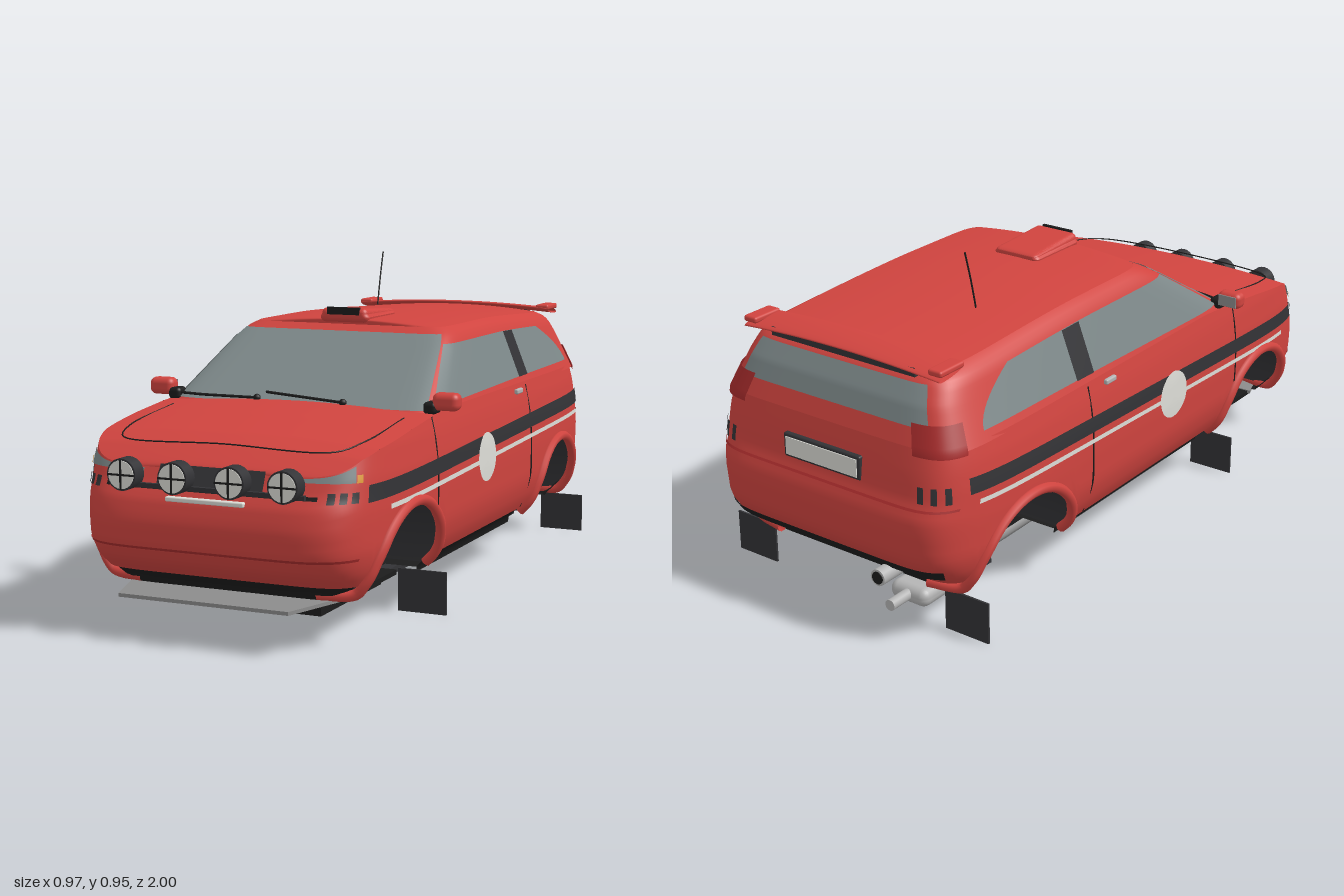
import * as THREE from 'three';
import { mergeVertices } from 'three/addons/utils/BufferGeometryUtils.js';
import { RoundedBoxGeometry } from 'three/addons/geometries/RoundedBoxGeometry.js';

const mat = (color) => new THREE.MeshStandardMaterial({ color, side: THREE.DoubleSide });
const RED = mat(0xd0443f), DARK = mat(0x333336), BLACK = mat(0x1c1c1c), GLASS = mat(0x7c8788);
const WHITE = mat(0xdcdcd6), GREY = mat(0x8c8c8c), LIGHT = mat(0xb4b4b4), TAIL = mat(0xa82c2c), AMBER = mat(0xe09a30);
const V = (x, y, z) => new THREE.Vector3(x, y, z);
const lerp = THREE.MathUtils.lerp;

// Piecewise interpolation in a table of [key, value]
function look(t, x) {
  if (x <= t[0][0]) return t[0][1];
  for (let i = 1; i < t.length; i++) if (x <= t[i][0])
    return lerp(t[i - 1][1], t[i][1], (x - t[i - 1][0]) / (t[i][0] - t[i - 1][0]));
  return t[t.length - 1][1];
}

// Smooth sheet from a function of two parameters in 0..1
function sheet(nu, nv, f) {
  const pos = [], idx = [];
  for (let i = 0; i <= nu; i++) for (let j = 0; j <= nv; j++) pos.push(...f(i / nu, j / nv).toArray());
  for (let i = 0; i < nu; i++) for (let j = 0; j < nv; j++) {
    const a = i * (nv + 1) + j, b = a + nv + 1;
    idx.push(a, b, a + 1, b, b + 1, a + 1);
  }
  let g = new THREE.BufferGeometry();
  g.setAttribute('position', new THREE.Float32BufferAttribute(pos, 3));
  g.setIndex(idx);
  g = mergeVertices(g, 1e-5);
  g.computeVertexNormals();
  return g;
}

// Outline parameter s in 0..1: front centre, left side, rear centre, right side
function square(s) {
  s = (s + 1) % 1;
  if (s > 0.5) { const [p, q] = square(1 - s); return [-p, q]; }
  if (s < 0.1) return [s / 0.1, 1];
  if (s < 0.4) return [1, 1 - (s - 0.1) / 0.15];
  return [(0.5 - s) / 0.1, -1];
}
function rounded(s, nf, nb) {
  const [p, q] = square(s), n = q > 0 ? nf : nb;
  const k = (Math.abs(p) ** n + Math.abs(q) ** n) ** (-1 / n);
  return [p * k, q * k];
}
function sideParam(zn, nf, nb) {
  const n = zn > 0 ? nf : nb, q = zn / (1 - Math.abs(zn) ** n) ** (1 / n);
  return 0.1 + 0.15 * (1 - q);
}

// Lower body surface
const WIDTH = [[.12, .36], [.165, .405], [.2, .425], [.26, .44], [.36, .443], [.45, .44], [.52, .43], [.57, .418]];
const FRONT = [[.12, .86], [.165, .90], [.2, .95], [.25, .98], [.32, .985], [.38, .97], [.405, .95], [.46, .925], [.57, .87]];
const REAR = [[.12, .86], [.165, .90], [.2, .95], [.25, .985], [.35, .995], [.4, .99], [.42, .975], [.5, .965], [.57, .95]];
const SHOULDER = [[.3, .57], [.45, .56], [.6, .545], [.8, .52], [.88, .5], [.93, .475], [.97, .455]];
function body(s, y, off = 0) {
  const [a, b] = rounded(s, 7, 9);
  const end = look(b > 0 ? FRONT : REAR, y) - 0.97 + off;
  return V((look(WIDTH, y) + off) * a, y, b * 0.97 + Math.sign(b) * end * Math.abs(b) ** 8);
}
const bodyS = (z) => sideParam(z / 0.97, 7, 9);
const flankX = (z, y) => body(bodyS(z), y).x;
const planZ = (s) => rounded(s, 7, 9)[1] * 0.97;
const WHEELS = [0.61, -0.63], ARCH_Y = 0.14, ARCH_R = 0.215;
function sill(z) {
  let y = 0.165;
  for (const c of WHEELS) if (Math.abs(z - c) < ARCH_R) y = Math.max(y, ARCH_Y + Math.sqrt(ARCH_R ** 2 - (z - c) ** 2));
  return y;
}

// Cabin surface, v from belt to roof edge
const CAB_W = [[0, .418], [.8, .352], [.93, .335], [1, .31]];
const CAB_F = [[0, .45], [.9, .14], [1, .10]];
const CAB_B = [[0, -.95], [.6, -.91], [.9, -.875], [1, -.84]];
function cabin(s, v, off = 0) {
  const [a, b] = rounded(s, 14, 10), f = look(CAB_F, v) + off, r = look(CAB_B, v) - off;
  const z = (f + r) / 2 + b * (f - r) / 2;
  const drop = 0.025 * v * THREE.MathUtils.smoothstep(-z, 0.2, 0.95);
  return V((look(CAB_W, v) + off) * a, 0.56 + 0.21 * v - drop + (v > 0.98 ? off : 0), z);
}
function cabinS(z, v) {
  const f = look(CAB_F, v), r = look(CAB_B, v);
  return sideParam((z - (f + r) / 2) / ((f - r) / 2), 14, 10);
}

export function createModel() {
  const car = new THREE.Group();
  car.name = 'rallyCar';
  const add = (name, geo, m, x = 0, y = 0, z = 0) => {
    const o = new THREE.Mesh(geo, m);
    o.name = name; o.position.set(x, y, z); car.add(o);
    return o;
  };
  const box = (name, m, w, h, d, x, y, z) => add(name, new THREE.BoxGeometry(w, h, d), m, x, y, z);
  const soft = (name, m, w, h, d, x, y, z, r) => add(name, new RoundedBoxGeometry(w, h, d, 3, r), m, x, y, z);
  const tube = (name, pts, r, m, n = 32) => add(name, new THREE.TubeGeometry(new THREE.CatmullRomCurve3(pts), n, r, 8), m);
  const rod = (name, m, r, len, x, y, z) => add(name, new THREE.CylinderGeometry(r, r, len, 24).rotateX(Math.PI / 2), m, x, y, z);
  const patch = (name, m, s0, s1, y0, y1, off) => add(name, sheet(30, 4, (a, t) => body(lerp(s0, s1, a), lerp(y0, y1, t), off)), m);
  // Sheet joining the left and right edges, arched by crown
  const across = (name, m, edge, s0, s1, crown) => add(name, sheet(70, 16, (a, t) => {
    const p = edge(lerp(s0, s1, a)), u = 2 * t - 1;
    return V(p.x * u, p.y + crown * p.x * (1 - u * u), p.z);
  }), m);

  // Body shell, bonnet, cabin and roof
  add('bodyShell', sheet(400, 16, (s, t) => body(s, lerp(sill(planZ(s)), look(SHOULDER, planZ(s)), t))), RED);
  across('bonnet', RED, (s) => body(s, look(SHOULDER, planZ(s))), 0, bodyS(0.28), 0.04);
  add('cabinShell', sheet(240, 16, (s, t) => cabin(s, t)), RED);
  across('roof', RED, (s) => cabin(s, 1), 0, 0.5, 0.06);

  // Windows
  add('windscreen', sheet(40, 12, (a, t) => cabin(lerp(-0.097, 0.097, a), lerp(0.05, 0.92, t), 0.004)), GLASS);
  add('rearWindow', sheet(30, 12, (a, t) => cabin(lerp(0.416, 0.584, a), lerp(0.32, 0.86, t), 0.004)), GLASS);
  for (const side of [1, -1]) {
    const flip = (s) => side > 0 ? s : 1 - s;
    const window = (name, m, zf, zr, off) => add(name, sheet(30, 10, (a, t) => {
      const z = lerp(zf(0.04 + 0.76 * t), zr(0.04 + 0.76 * t), a);
      const v = lerp(0.08 - 0.09 * (z - 0.4) * 0.8, 0.8, t);
      return cabin(flip(cabinS(z, v)), v, off);
    }), m);
    window('sideWindow', GLASS, (v) => 0.39 - 0.3 * v, (v) => -0.79 + 0.26 * v * v, 0.004);
    window('doorPillar', DARK, () => -0.30, () => -0.38, 0.007);

    // Stripes, end slashes and the round door panel
    const stripe = (name, m, z0, z1, y0, h) => add(name, sheet(80, 3, (a, t) => {
      const z = lerp(z0, z1, a);
      return body(flip(bodyS(z)), y0 - 0.03 * z + h * t, 0.004);
    }), m);
    stripe('darkStripe', DARK, 0.86, -0.87, 0.417, 0.045);
    stripe('paleStripe', WHITE, 0.76, -0.84, 0.384, 0.013);
    for (const s of [0.076, 0.084, 0.092]) patch('frontSlash', DARK, flip(s), flip(s + 0.005), 0.395, 0.422, 0.005);
    for (const s of [0.405, 0.414, 0.423]) patch('rearSlash', DARK, flip(s), flip(s + 0.004), 0.43, 0.475, 0.005);
    add('doorRoundel', sheet(40, 3, (a, t) => body(flip(bodyS(0.075 + 0.072 * t * Math.cos(a * 2 * Math.PI))),
      0.395 + 0.072 * t * Math.sin(a * 2 * Math.PI), 0.007)), WHITE);

    // Door seams and handle
    for (const [z, y0] of [[0.45, 0.3], [-0.34, 0.17]])
      tube('doorSeam', [0, .25, .5, .75, 1].map((t) => body(flip(bodyS(z)), lerp(y0, 0.56, t))), 0.0025, BLACK);
    soft('doorHandle', LIGHT, 0.014, 0.016, 0.05, side * 0.432, 0.55, -0.245, 0.005);

    // Wheel wells, arch flares and mud flaps
    for (const c of WHEELS) {
      const arc = (a, r) => { const t = a * Math.PI; return [c + r * Math.cos(t), ARCH_Y + r * Math.sin(t)]; };
      add('wheelWell', sheet(32, 4, (a, t) => {
        const [z, y] = arc(a, ARCH_R);
        return V(side * lerp(0.2, flankX(z, y), t), y, z);
      }), DARK);
      add('wellInnerWall', new THREE.CircleGeometry(ARCH_R, 32, 0, Math.PI).rotateY(Math.PI / 2), DARK, side * 0.205, ARCH_Y, c);
      const pts = [];
      for (let i = 0; i <= 24; i++) {
        const [z, y] = arc(i / 24, 0.217);
        pts.push(V(side * (flankX(z, y) + 0.002), y, z));
      }
      const lead = c > 0 ? pts[0] : pts[24], tip = V(lead.x - side * 0.1, 0.135, lead.z + Math.sign(c) * 0.02);
      c > 0 ? pts.unshift(tip) : pts.push(tip);
      tube('archFlare', pts, 0.015, RED, 72);
      rod('axleStub', DARK, 0.03, 0.1, side * 0.24, 0.12, c);
    }
    for (const z of [0.42, -0.848]) box('mudFlap', DARK, 0.145, 0.122, 0.006, side * 0.384, 0.061, z);

    // Sill, mirror, head lamp, indicator and tail lamp
    patch('sill', BLACK, flip(bodyS(0.38)), flip(bodyS(-0.4)), 0.105, 0.175, -0.012);
    soft('mirror', RED, 0.078, 0.05, 0.05, side * 0.447, 0.597, 0.40, 0.018);
    box('mirrorGlass', GREY, 0.06, 0.034, 0.004, side * 0.447, 0.597, 0.374);
    soft('mirrorFoot', BLACK, 0.04, 0.035, 0.05, side * 0.402, 0.578, 0.40, 0.012);
    add('headLamp', sheet(20, 6, (a, t) => {
      const s = lerp(0.045, 0.094, a);
      return body(flip(s), lerp(0.445, look(SHOULDER, planZ(s)) - 0.002, t), 0.005);
    }), GLASS);
    patch('indicator', AMBER, flip(0.0945), flip(0.099), 0.445, 0.465, 0.006);
    add('tailLamp', sheet(20, 6, (a, t) => cabin(flip(lerp(0.385, 0.43, a)), lerp(-0.05, 0.38, t), 0.005)), TAIL);
    soft('spoilerEnd', RED, 0.045, 0.018, 0.1, side * 0.322, 0.763, -0.84, 0.007);
  }

  // Nose: grille, bumper lines, plate strip and four driving lamps
  patch('grille', DARK, -0.035, 0.035, 0.412, 0.465, 0.004);
  patch('grilleSlot', BLACK, -0.07, 0.07, 0.402, 0.412, 0.005);
  patch('bumperCrease', TAIL, -0.1, 0.1, 0.243, 0.25, 0.002);
  soft('frontPlate', WHITE, 0.23, 0.013, 0.02, 0, 0.382, 0.968, 0.004);
  box('lampBar', DARK, 0.56, 0.012, 0.012, 0, 0.41, 0.955);
  for (const x of [-0.235, -0.083, 0.083, 0.235]) {
    rod('lampHousing', DARK, 0.043, 0.045, x, 0.44, 0.972);
    rod('lampLens', WHITE, 0.038, 0.006, x, 0.44, 0.994);
    box('lampCrossbar', BLACK, 0.08, 0.005, 0.004, x, 0.44, 0.998);
    box('lampUpright', BLACK, 0.005, 0.08, 0.004, x, 0.44, 0.998);
  }
  // Bonnet seam
  const seam = [[-.36, .5], [-.355, .75], [-.31, .85], [0, .868], [.31, .85], [.355, .75], [.36, .5]];
  tube('bonnetSeam', seam.map(([x, z]) => {
    const s = bodyS(z), y = look(SHOULDER, z), w = body(s, y).x;
    return V(x, y + 0.04 * w * (1 - (x / w) ** 2), z);
  }), 0.002, BLACK, 60);

  // Wipers
  for (const [s0, s1] of [[-0.094, -0.03], [-0.026, 0.034]]) {
    const pts = [0, .33, .67, 1].map((t) => cabin(lerp(s0, s1, t), s0 < -0.05 ? 0.1 : lerp(0.17, 0.1, t), 0.012));
    tube('wiper', pts, 0.004, BLACK);
    add('wiperPivot', new THREE.SphereGeometry(0.011, 12, 8), BLACK, pts[3].x, pts[3].y, pts[3].z);
  }

  // Roof scoop, aerial and rear wing
  const scoop = new RoundedBoxGeometry(0.16, 0.045, 0.22, 4, 0.018), sp = scoop.attributes.position;
  for (let i = 0; i < sp.count; i++) if (sp.getY(i) > 0) {
    sp.setY(i, sp.getY(i) * lerp(0.35, 1, (sp.getZ(i) + 0.11) / 0.22));
    sp.setX(i, sp.getX(i) * 0.93);
  }
  scoop.computeVertexNormals();
  add('roofScoop', scoop, RED, 0, 0.796, 0);
  box('scoopMouth', BLACK, 0.105, 0.022, 0.01, 0, 0.809, 0.107);
  tube('aerial', [V(-0.148, 0.78, -0.49), V(-0.148, 0.865, -0.51), V(-0.148, 0.952, -0.535)], 0.0025, BLACK, 4);
  add('rearWing', sheet(30, 20, (a, t) => {
    const x = lerp(-0.34, 0.34, a), th = t * 2 * Math.PI;
    return V(x, 0.765 - 0.12 * x * x + 0.008 * Math.sin(th) + 0.008 * Math.cos(th), -0.84 + 0.052 * Math.cos(th));
  }), RED);
  box('wingMount', DARK, 0.5, 0.025, 0.03, 0, 0.745, -0.865);

  // Tail: plate, bumper slot
  soft('rearPlateFrame', DARK, 0.27, 0.07, 0.02, 0, 0.475, -0.966, 0.006);
  box('rearPlate', WHITE, 0.25, 0.052, 0.008, 0, 0.475, -0.975);
  patch('rearBumperSlot', BLACK, 0.41, 0.59, 0.2, 0.23, 0.004);
  patch('rearBumperSeam', TAIL, 0.4, 0.6, 0.408, 0.414, 0.004);

  // Underside
  patch('frontValance', BLACK, -0.112, 0.112, 0.118, 0.172, -0.012);
  patch('rearValance', BLACK, 0.39, 0.61, 0.118, 0.172, -0.012);
  const under = (s) => body(s, 0.12, -0.012);
  across('frontUnderTray', BLACK, under, 0, 0.112, 0);
  across('middleUnderTray', BLACK, under, bodyS(0.38), bodyS(-0.4), 0);
  across('rearUnderTray', BLACK, under, 0.39, 0.5, 0);
  box('floor', BLACK, 0.42, 0.06, 1.6, 0, 0.12, 0.02);
  box('floorPanel', DARK, 0.38, 0.02, 0.62, 0.06, 0.085, 0.1);
  box('engineGuard', BLACK, 0.38, 0.035, 0.4, 0.06, 0.082, 0.6);
  box('rearGuard', BLACK, 0.34, 0.035, 0.28, 0.07, 0.085, -0.55);
  for (const z of WHEELS) box('axleBeam', DARK, 0.56, 0.04, 0.05, 0, 0.1, z);
  const plate = new THREE.Shape([[-.32, .78], [.32, .78], [.25, .995], [-.25, .995]].map(([x, z]) => new THREE.Vector2(x, z)));
  add('skidPlate', new THREE.ExtrudeGeometry(plate, { depth: 0.01, bevelEnabled: false }).rotateX(Math.PI / 2), GREY, 0, 0.122, 0);
  box('skidBrace', BLACK, 0.62, 0.014, 0.36, 0, 0.112, 0.61);

  // Exhaust
  tube('exhaustPipe', [V(-0.16, 0.088, 0.6), V(-0.2, 0.08, 0.4), V(-0.2, 0.08, -0.3), V(-0.2, 0.078, -0.7)], 0.018, GREY);
  soft('silencer', LIGHT, 0.13, 0.055, 0.2, -0.2, 0.075, -0.78, 0.025);
  rod('exhaustOutlet', LIGHT, 0.016, 0.1, -0.2, 0.078, -0.9);
  rod('tailPipe', LIGHT, 0.024, 0.09, -0.2, 0.183, -0.95);
  rod('tailPipeBore', BLACK, 0.018, 0.004, -0.2, 0.183, -0.995);
  return car;
}
